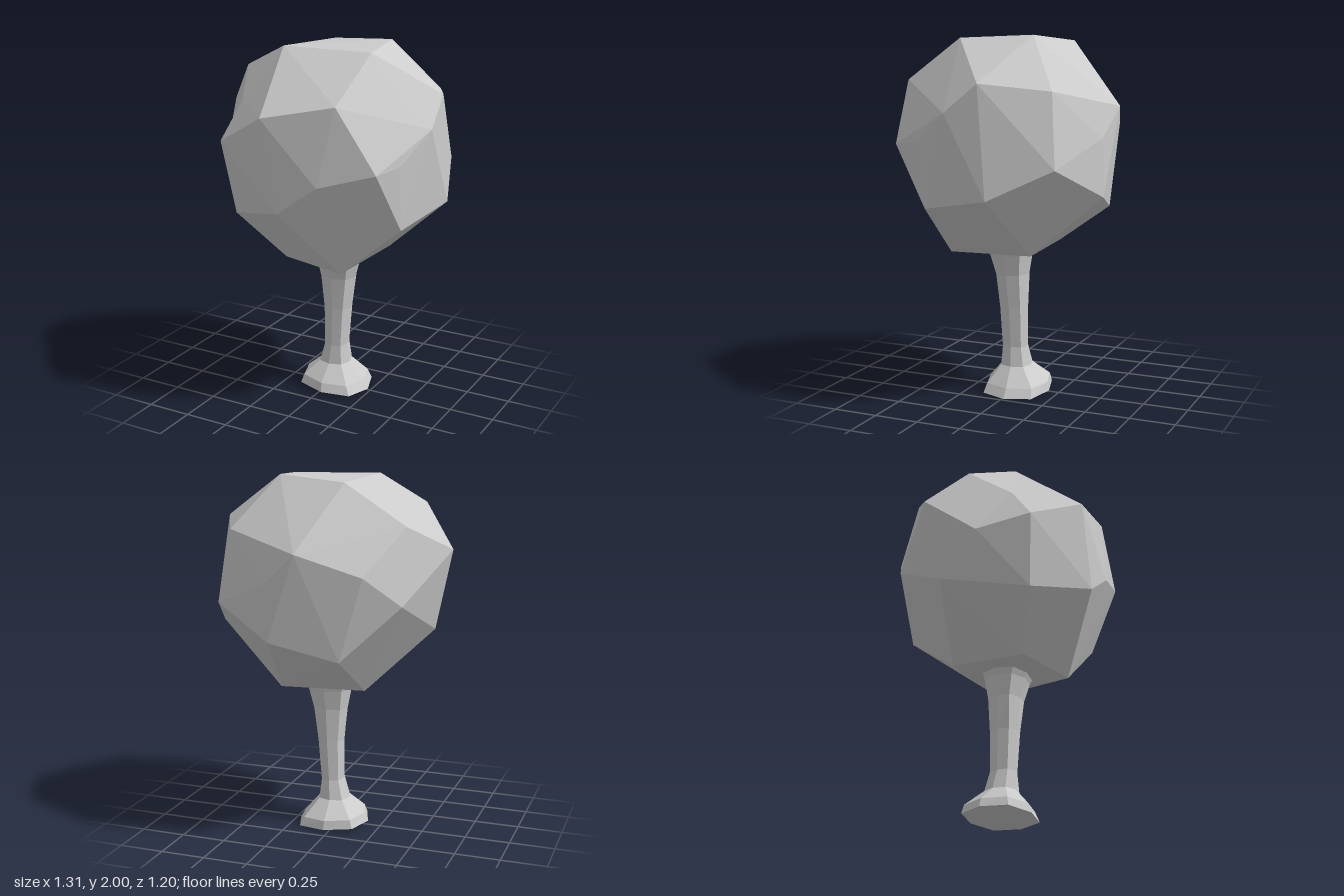
import * as THREE from 'three';
import { ConvexGeometry } from 'three/addons/geometries/ConvexGeometry.js';

const material = () => new THREE.MeshStandardMaterial({ color: 0xcccccc, flatShading: true });
const V = (x, y, z) => new THREE.Vector3(x, y, z);

// Faceted crown: convex boulder shape with one dent in its upper front corner
function makeCrown() {
  // Corners around the dent, in order
  const rim = [
    V(-0.17, 1.99, 0.22), V(-0.47, 1.85, 0.10), V(-0.66, 1.62, -0.06),
    V(-0.55, 1.42, 0.20), V(-0.42, 1.50, 0.465), V(-0.09, 1.68, 0.60),
  ];
  const dent = V(-0.37, 1.70, 0.32);
  const top = [V(0.33, 1.985, 0.19), V(0.26, 2.0, -0.20), V(-0.13, 1.97, -0.28)];
  const upper = [
    V(0.30, 1.76, 0.52), V(0.63, 1.76, -0.05), V(0.47, 1.72, -0.39),
    V(0.03, 1.63, -0.60), V(-0.46, 1.75, -0.25), V(0.648, 1.61, 0.13),
  ];
  const middle = [
    V(0.51, 1.43, 0.485), V(0.57, 1.45, 0.34), V(0.22, 1.35, 0.575),
    V(0.53, 1.33, -0.43), V(0.20, 1.47, -0.565), V(-0.30, 1.51, -0.49), V(-0.47, 1.35, -0.355),
  ];
  const lower = [
    V(0.0, 1.19, 0.595), V(0.56, 1.10, 0.29), V(0.65, 1.17, -0.10), V(0.19, 1.16, -0.57),
    V(-0.17, 1.06, -0.48), V(-0.56, 1.18, -0.02), V(-0.36, 1.10, 0.42),
  ];
  const bottom = [V(0.22, 0.81, 0.31), V(0.27, 0.83, -0.19), V(-0.21, 0.84, -0.17), V(-0.15, 0.83, 0.25)];
  const hull = new ConvexGeometry([...rim, ...top, ...upper, ...middle, ...lower, ...bottom]);

  // Remove the hull faces that span the dent, then fan the rim in to its deepest point
  const p = hull.attributes.position;
  const points = [];
  for (let i = 0; i < p.count; i += 3) {
    const face = [0, 1, 2].map((k) => new THREE.Vector3().fromBufferAttribute(p, i + k));
    const onRim = face.every((v) => rim.some((r) => r.distanceTo(v) < 1e-4));
    if (!onRim) points.push(...face);
  }
  rim.forEach((v, i) => points.push(v, rim[(i + 1) % rim.length], dent));
  const geometry = new THREE.BufferGeometry().setFromPoints(points);
  geometry.computeVertexNormals();
  return geometry;
}

// Eight-sided trunk with a flared foot, shaped row by row
function makeTrunk() {
  // y, x min, x max, z min, z max (top row first)
  const rows = [
    [0.84, -0.085, 0.195, -0.11, 0.15],
    [0.80, -0.07, 0.18, -0.10, 0.13],
    [0.69, -0.05, 0.15, -0.08, 0.10],
    [0.50, -0.03, 0.12, -0.075, 0.085],
    [0.27, -0.03, 0.10, -0.07, 0.075],
    [0.16, -0.065, 0.115, -0.09, 0.085],
    [0.07, -0.16, 0.20, -0.19, 0.165],
    [0.02, -0.18, 0.23, -0.20, 0.18],
  ];
  const geometry = new THREE.CylinderGeometry(1, 1, 1, 8, rows.length - 1);
  const p = geometry.attributes.position;
  for (let i = 0; i < p.count; i++) {
    const row = Math.round((0.5 - p.getY(i)) * (rows.length - 1));
    const [y, x0, x1, z0, z1] = rows[row];
    const bulge = (s) => Math.sign(s) * Math.min(1, Math.abs(s) * 1.08);
    const x = (x0 + x1) / 2 + bulge(p.getX(i)) * (x1 - x0) / 2;
    const z = (z0 + z1) / 2 + bulge(p.getZ(i)) * (z1 - z0) / 2;
    // The foot leans slightly to one side
    const lean = row >= 6 ? -0.06 * (x - 0.02) : 0;
    p.setXYZ(i, x, y + lean, z);
  }
  geometry.translate(0, -0.007, 0);
  geometry.computeVertexNormals();
  return geometry;
}

export function createModel() {
  const tree = new THREE.Group();
  tree.name = 'tree';
  const crown = new THREE.Mesh(makeCrown(), material());
  crown.name = 'crown';
  crown.material.side = THREE.DoubleSide;
  const trunk = new THREE.Mesh(makeTrunk(), material());
  trunk.name = 'trunk';
  tree.add(crown, trunk);
  return tree;
}
